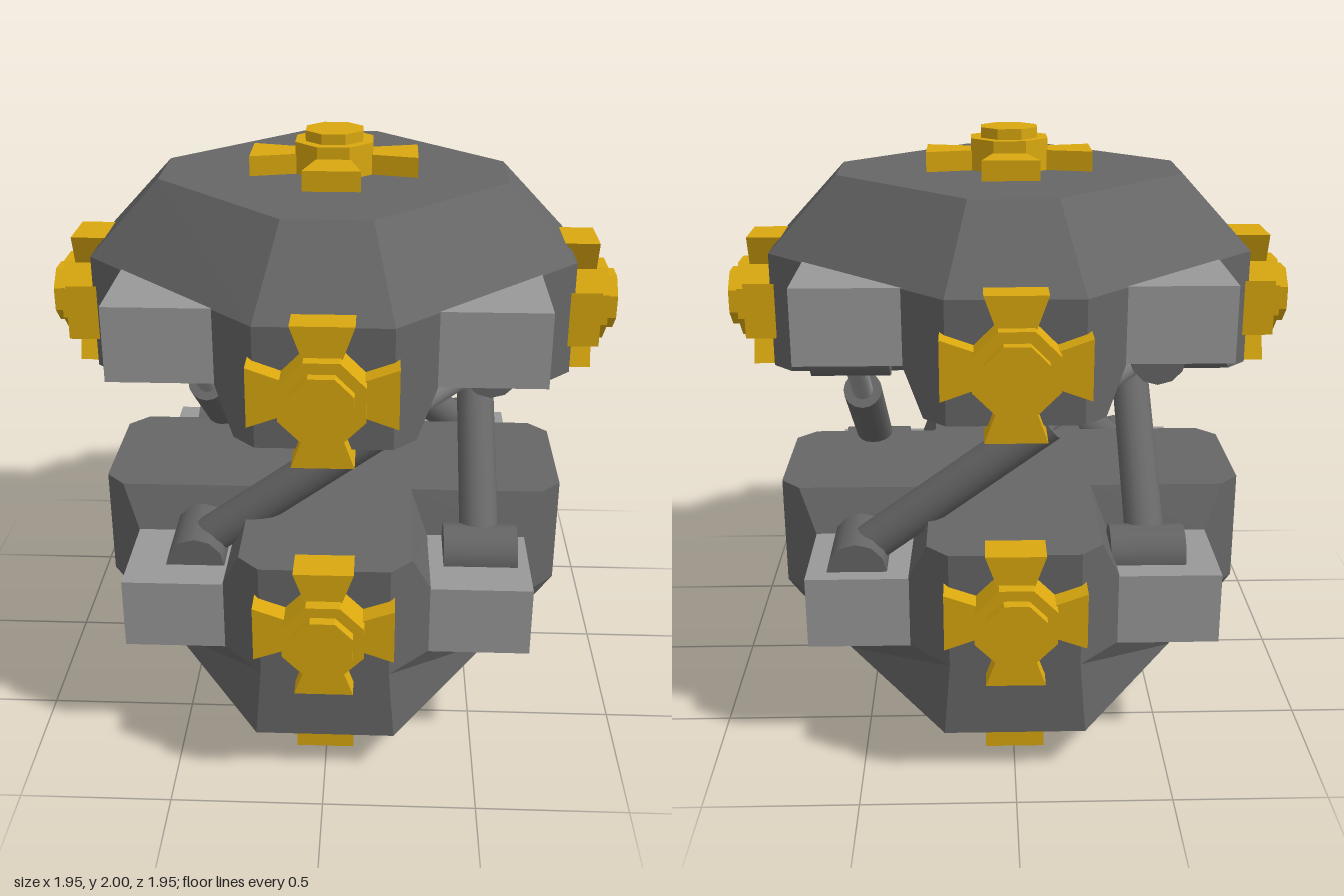
import * as THREE from 'three';

const V = (x, y, z) => new THREE.Vector3(x, y, z);
const mat = (color, flatShading = true) => new THREE.MeshStandardMaterial({ color, flatShading });

export function createModel() {
  const root = new THREE.Group();
  const dark = mat(0x666666), light = mat(0x999999), gold = mat(0xdaa80f);
  const sleeveMat = mat(0x666666, false), rodMat = mat(0x999999, false);

  function add(parent, name, geometry, material) {
    const mesh = new THREE.Mesh(geometry, material);
    mesh.name = name;
    parent.add(mesh);
    return mesh;
  }

  // Octagonal hull: one quadrant of faces, mirrored four ways; flip turns it upside down.
  // [ax, az] and [dx, dz] are the side and front corners of the narrower cap.
  function hull(flip, [ax, az], [dx, dz]) {
    const t = 0.79, ledge = 0.64, m = 0.4, c = 0.15;
    const Am = V(0.81, m, 0.21), At = V(0.81, t, 0.21), Ac = V(ax, c, az);
    const Dm = V(0.21, m, 0.83), Dt = V(0.21, t, 0.83), Dc = V(dx, c, dz);
    const W1 = V(0.742, t, 0.28), W2 = V(0.28, t, 0.758), N = V(0.28, t, 0.28);
    const B1 = V(0.68, ledge, 0.345), B2 = V(0.345, ledge, 0.69), M = V(0.34, ledge, 0.34);
    const faces = [
      [V(0, t, 0), V(0, t, 0.83), Dt, W2, N, W1, At, V(0.81, t, 0)], // inner deck
      [W2, B2, M, N], [N, M, B1, W1], // slopes of the corner notch
      [V(0.81, m, 0), V(0.81, t, 0), At, Am], // side wall
      [V(0, m, 0.83), Dm, Dt, V(0, t, 0.83)], // front wall
      [Am, At, W1, B1], [Am, B1, B2, Dm], [Dm, B2, W2, Dt], // diagonal wall
      [V(ax, c, 0), V(0.81, m, 0), Am, Ac], // chamfers
      [V(0, c, dz), Dc, Dm, V(0, m, 0.83)],
      [Ac, Am, Dm, Dc],
      [V(0, c, 0), V(ax, c, 0), Ac, Dc, V(0, c, dz)], // outer cap
    ];
    const pos = [];
    for (const sx of [1, -1]) for (const sz of [1, -1]) {
      const reverse = sx * sz * (flip ? -1 : 1) < 0;
      for (const f of faces) for (let i = 1; i < f.length - 1; i++) {
        const tri = reverse ? [f[0], f[i + 1], f[i]] : [f[0], f[i], f[i + 1]];
        for (const p of tri) pos.push(p.x * sx, flip ? 2.01 - p.y : p.y, p.z * sz);
      }
    }
    const g = new THREE.BufferGeometry();
    g.setAttribute('position', new THREE.Float32BufferAttribute(pos, 3));
    g.computeVertexNormals();
    return g;
  }
  add(root, 'lowerHull', hull(false, [0.58, 0.28], [0.23, 0.83]), dark);
  add(root, 'upperHull', hull(true, [0.58, 0.14], [0.14, 0.59]), dark);

  // Corner blocks
  for (const y of [0.52, 1.49]) for (const sx of [1, -1]) for (const sz of [1, -1])
    add(root, y < 1 ? 'lowerCornerBlock' : 'upperCornerBlock',
      new THREE.BoxGeometry(0.34, 0.245, 0.35), light).position.set(0.51 * sx, y, 0.518 * sz);

  // Gold fittings: four flared arms round a stepped octagonal hub, pointing along dir
  function fitting(name, at, dir, reach) {
    const g = new THREE.Group();
    g.name = name;
    const arm = new THREE.Shape([[0.1, -0.05], [reach, -0.095], [reach, 0.095], [0.1, 0.05]]
      .map(([x, y]) => new THREE.Vector2(x, y)));
    const armGeo = new THREE.ExtrudeGeometry(arm, { depth: 0.12, bevelEnabled: false })
      .rotateX(-Math.PI / 2).translate(0, -0.05, 0);
    for (let i = 0; i < 4; i++) add(g, 'arm', armGeo, gold).rotation.y = i * Math.PI / 2;
    const disc = (r, top) => new THREE.CylinderGeometry(r, r, top + 0.05, 8)
      .rotateY(Math.PI / 8).translate(0, (top - 0.05) / 2, 0);
    add(g, 'hub', disc(0.14, 0.11), gold);
    add(g, 'hubCap', disc(0.103, 0.145), gold);
    g.position.copy(at);
    g.quaternion.setFromUnitVectors(V(0, 1, 0), dir);
    root.add(g);
  }
  fitting('topFitting', V(0, 1.857, 0), V(0, 1, 0), 0.28);
  for (const z of [-0.52, 0, 0.52])
    fitting('bottomFitting', V(0, 0.147, z), V(0, -1, 0), 0.28);
  for (const s of [1, -1]) {
    fitting('upperSideFitting', V(0.83 * s, 1.415, 0), V(s, 0, 0), 0.225);
    fitting('upperEndFitting', V(0, 1.415, 0.83 * s), V(0, 0, s), 0.225);
    fitting('lowerEndFitting', V(0, 0.593, 0.83 * s), V(0, 0, s), 0.225);
  }

  // Pistons: each runs from a lower corner to the next upper corner
  function rod(parent, name, a, b, r, material, sides) {
    const d = b.clone().sub(a);
    const mesh = add(parent, name, new THREE.CylinderGeometry(r, r, d.length(), sides), material);
    mesh.position.copy(a).addScaledVector(d, 0.5);
    mesh.quaternion.setFromUnitVectors(V(0, 1, 0), d.normalize());
  }
  const corners = [[-0.45, 0.45], [0.515, 0.45], [0.515, -0.515], [-0.45, -0.515]];
  corners.forEach(([x, z], i) => {
    const [nx, nz] = corners[(i + 1) % 4];
    const piston = new THREE.Group();
    piston.name = 'piston';
    root.add(piston);
    const a = V(x, 0.66, z), b = V(nx, 1.36, nz), mid = a.clone().lerp(b, 0.655);
    rod(piston, 'sleeve', a, mid, 0.067, sleeveMat, 16);
    rod(piston, 'rod', mid, b, 0.036, rodMat, 16);
    // Pivots lie across the piston's plane
    const across = i % 2 ? V(0.125, 0, 0) : V(0, 0, 0.125);
    const low = V(x, 0.64, z), high = V(nx, 1.37, nz);
    rod(piston, 'lowerPivot', low.clone().sub(across), low.clone().add(across), 0.1, sleeveMat, 12);
    rod(piston, 'upperPivot', high.clone().sub(across), high.clone().add(across), 0.088, sleeveMat, 12);
  });

  return root;
}
